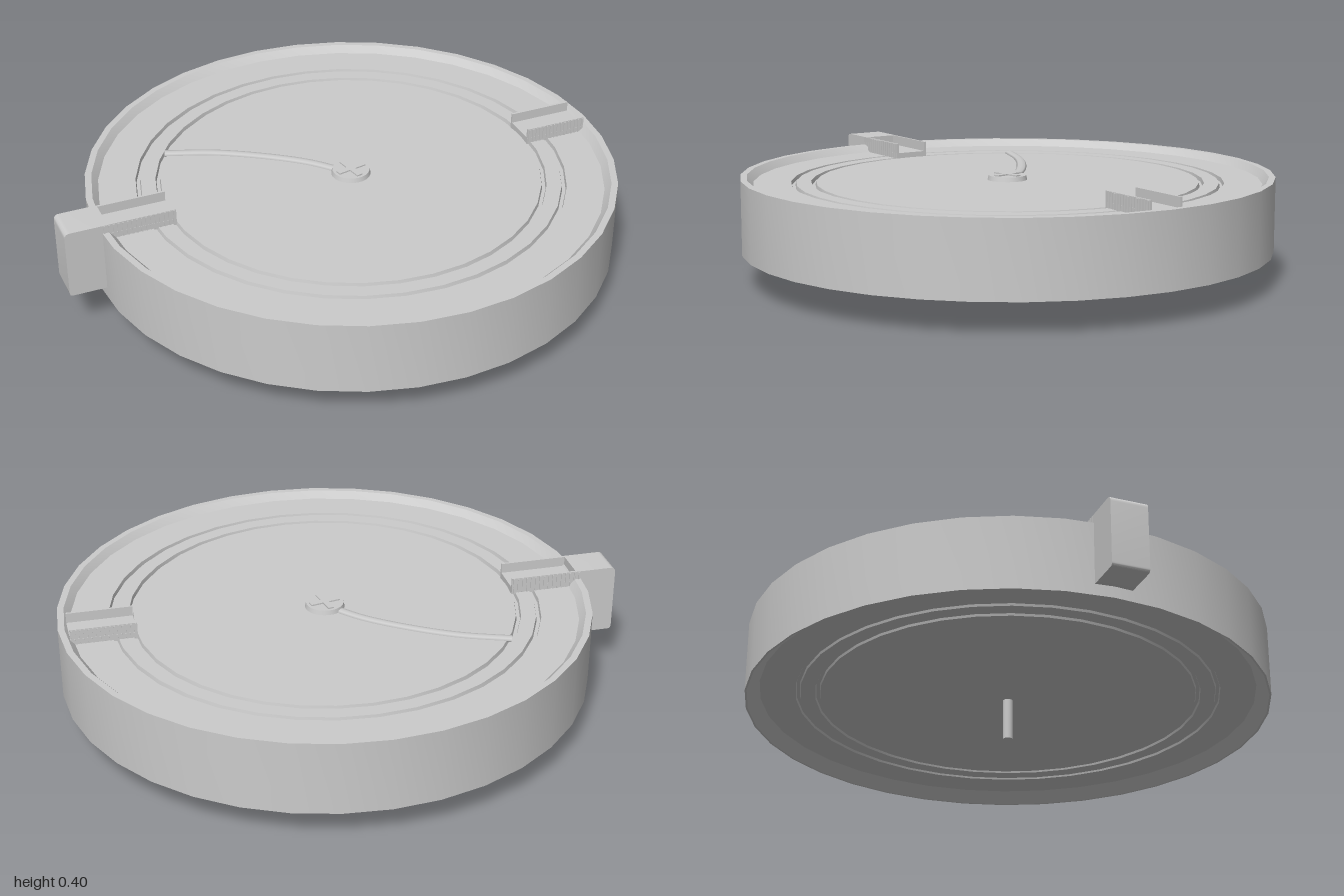
import * as THREE from 'three';
import { toCreasedNormals } from 'three/addons/utils/BufferGeometryUtils.js';

const CX = 0.06;      // disc axis
const TOP = 0.345;    // height of the recessed face
const UNDER = 0.15;   // height of the underside

export function createModel() {
  const model = new THREE.Group();
  const mat = new THREE.MeshStandardMaterial({ color: 0xcccccc, side: THREE.DoubleSide });
  const add = (name, geo, x = 0, y = 0, z = 0, parent = model) => {
    const mesh = new THREE.Mesh(geo, mat);
    mesh.name = name;
    mesh.position.set(x, y, z);
    parent.add(mesh);
    return mesh;
  };

  // Round body: hollow foot, rim and two shallow grooves on both faces
  const groove = (r, y, d) => [[r - 0.009, y], [r - 0.006, y + d], [r + 0.006, y + d], [r + 0.009, y]];
  const profile = [
    [0, UNDER], ...groove(0.68, UNDER, 0.008), ...groove(0.75, UNDER, 0.008),
    [0.885, UNDER], [0.928, 0.11], [0.935, 0.11], [0.935, 0.37], [0.912, 0.37], [0.89, TOP],
    ...groove(0.75, TOP, -0.014).reverse(), ...groove(0.68, TOP, -0.014).reverse(), [0, TOP],
  ].map(([r, y]) => new THREE.Vector2(r, y));
  add('body', toCreasedNormals(new THREE.LatheGeometry(profile, 36), 0.5), CX);

  // Pin under the body
  add('pin', new THREE.CylinderGeometry(0.018, 0.018, 0.16, 16), CX, 0.08);

  // Centre screw with a raised cross
  const screw = new THREE.Group();
  screw.name = 'centreScrew';
  screw.position.set(CX, TOP, 0);
  model.add(screw);
  add('screwHead', new THREE.CylinderGeometry(0.066, 0.07, 0.016, 24), 0, 0.008, 0, screw);
  for (const turn of [0, Math.PI / 2]) {
    add('screwCross', new THREE.BoxGeometry(0.11, 0.006, 0.022), 0, 0.018, 0, screw).rotation.y = turn + 0.2;
  }

  // Curved hand: a flattened tube from the screw outwards
  const path = new THREE.CatmullRomCurve3([
    [0.04, -0.02], [-0.05, -0.12], [-0.18, -0.22], [-0.34, -0.315], [-0.505, -0.38],
  ].map(([x, z]) => new THREE.Vector3(x, 0, z)));
  add('hand', new THREE.TubeGeometry(path, 24, 0.018, 8).scale(1, 0.5, 1), 0, TOP, 0);

  // Clamp straps: a low floor with ribbed rails along both sides
  const addStrap = (name, x0, x1) => {
    const strap = new THREE.Group();
    strap.name = name;
    model.add(strap);
    const len = x1 - x0, mid = (x0 + x1) / 2;
    add('strapFloor', new THREE.BoxGeometry(len, 0.025, 0.13), mid, 0.352, 0, strap);
    for (const side of [-1, 1]) {
      add('strapRail', new THREE.BoxGeometry(len, 0.06, 0.008), mid, 0.37, side * 0.06, strap);
      for (let i = 0; i < 16; i++) {
        add('rib', new THREE.BoxGeometry(0.006, 0.056, 0.005), x0 + (i + 0.5) * len / 16, 0.37, side * 0.065, strap);
      }
    }
  };
  addStrap('leftStrap', 0.73, 0.96);
  addStrap('rightStrap', -0.87, -0.61);

  // Side handle: rounded block hugging the rim
  const outline = new THREE.Shape();
  outline.moveTo(-0.85, 0.15);
  outline.lineTo(-0.99, 0.15);
  outline.quadraticCurveTo(-1, 0.15, -1, 0.165);
  outline.lineTo(-1, 0.38);
  outline.quadraticCurveTo(-1, 0.4, -0.98, 0.4);
  outline.lineTo(-0.85, 0.4);
  outline.closePath();
  const handle = new THREE.ExtrudeGeometry(outline, { depth: 0.13, bevelEnabled: false, curveSegments: 6 });
  add('handle', toCreasedNormals(handle, 0.6), 0, 0, -0.065);

  return model;
}
